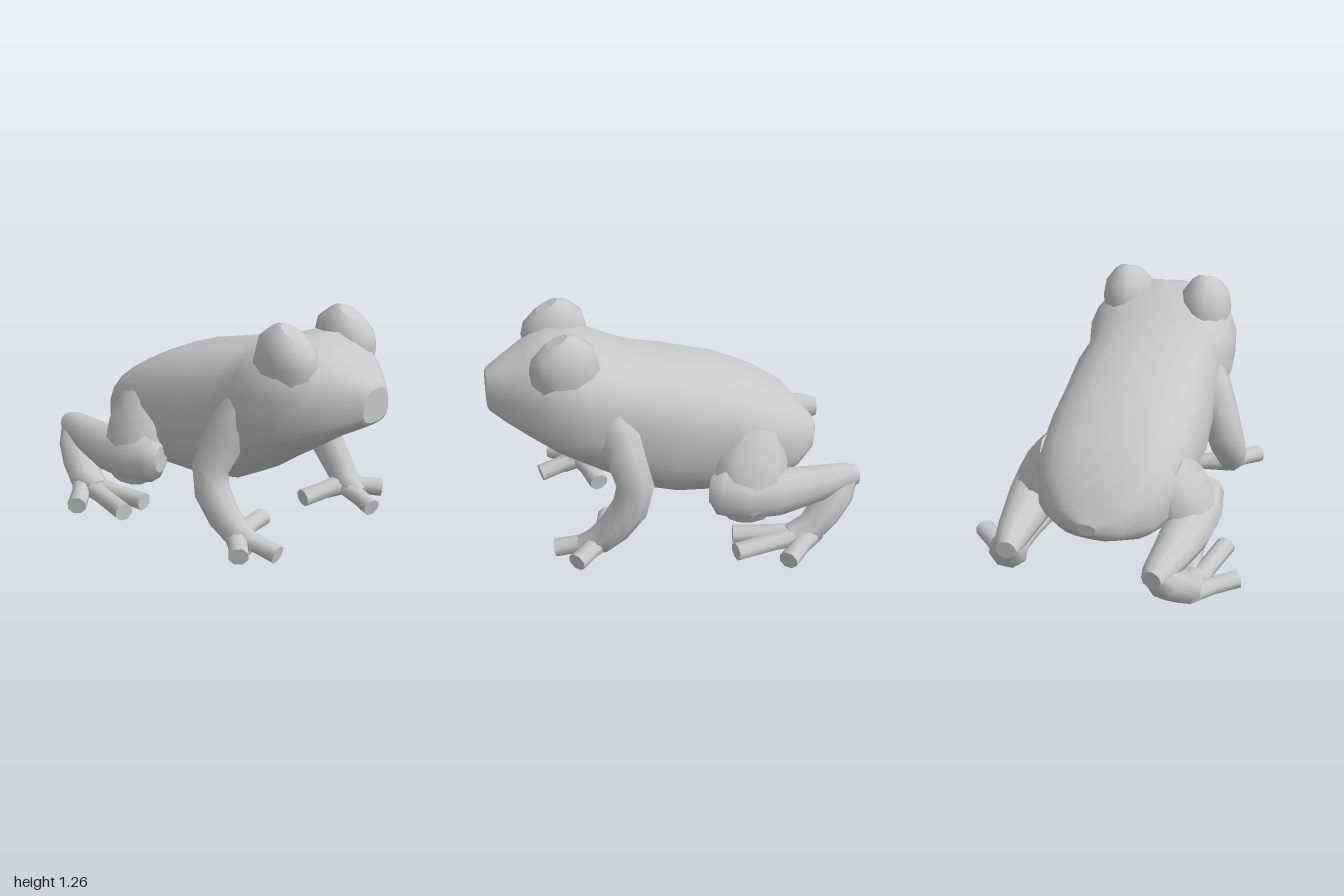
import * as THREE from 'three';

const skin = new THREE.MeshStandardMaterial({ color: 0xc8c8c8 });
skin.name = 'grey skin';

// Skin a list of equal rings (counter-clockwise about the travel direction) and cap both ends
function loft(rings) {
  const n = rings[0].length, pos = [], idx = [];
  const add = (p) => pos.push(p.x, p.y, p.z) / 3 - 1;
  rings.forEach((r) => r.forEach(add));
  for (let i = 0; i < rings.length - 1; i++) {
    for (let j = 0; j < n; j++) {
      const a = i * n + j, b = i * n + (j + 1) % n;
      idx.push(a, b, a + n, b, b + n, a + n);
    }
  }
  [[rings[0], true], [rings[rings.length - 1], false]].forEach(([ring, first]) => {
    const mid = new THREE.Vector3();
    ring.forEach((p) => mid.addScaledVector(p, 1 / n));
    const c = add(mid), k = ring.map(add);
    for (let j = 0; j < n; j++) {
      const a = k[j], b = k[(j + 1) % n];
      if (first) idx.push(c, b, a); else idx.push(c, a, b);
    }
  });
  const g = new THREE.BufferGeometry();
  g.setAttribute('position', new THREE.Float32BufferAttribute(pos, 3));
  g.setIndex(idx);
  g.computeVertexNormals();
  return g;
}

// Tapered limb through [x, y, z, radius]; ref fixes the ring's twist, flat scales it along ref
function limb(points, side, ref, flat = 1, sides = 8) {
  const c = points.map((p) => new THREE.Vector3(p[0], p[1], p[2] * side));
  return loft(points.map((p, i) => {
    const t = c[Math.min(i + 1, c.length - 1)].clone().sub(c[Math.max(i - 1, 0)]).normalize();
    const u = new THREE.Vector3().crossVectors(ref, t).normalize();
    const v = new THREE.Vector3().crossVectors(t, u);
    return Array.from({ length: sides }, (_, j) => {
      const a = (j + 0.5) / sides * Math.PI * 2;
      return c[i].clone().addScaledVector(u, Math.cos(a) * p[3])
        .addScaledVector(v, Math.sin(a) * p[3] * flat);
    });
  }));
}

// Body sections along x: [x, bottom, height of widest point, top, half width]
const sections = [
  [-0.85, 0.42, 0.46, 0.49, 0.05], [-0.80, 0.36, 0.46, 0.55, 0.19],
  [-0.68, 0.29, 0.48, 0.70, 0.33], [-0.52, 0.23, 0.51, 0.80, 0.40],
  [-0.30, 0.20, 0.55, 0.905, 0.42], [0.00, 0.21, 0.60, 0.99, 0.42],
  [0.20, 0.25, 0.67, 1.035, 0.40], [0.35, 0.335, 0.77, 1.09, 0.395],
  [0.48, 0.43, 0.82, 1.14, 0.43], [0.65, 0.545, 0.82, 1.16, 0.41],
  [0.79, 0.645, 0.81, 1.09, 0.32], [0.91, 0.715, 0.82, 1.03, 0.205],
  [0.99, 0.765, 0.84, 0.985, 0.115], [1.00, 0.78, 0.86, 0.96, 0.10],
];

function bodyGeometry() {
  const soft = (v) => Math.sign(v) * Math.pow(Math.abs(v), 0.8);
  return loft(sections.map(([x, lo, mid, hi, w]) => Array.from({ length: 18 }, (_, j) => {
    const a = j / 18 * Math.PI * 2, cy = soft(Math.cos(a));
    return new THREE.Vector3(x, mid + cy * (cy > 0 ? hi - mid : mid - lo), soft(Math.sin(a)) * w);
  })));
}

export function createModel() {
  const model = new THREE.Group();
  model.name = 'frog';
  const up = new THREE.Vector3(0, 1, 0), across = new THREE.Vector3(0, 0, 1);
  const add = (name, geometry, parent = model) => {
    const m = new THREE.Mesh(geometry, skin);
    m.name = name;
    parent.add(m);
  };
  // Stubby toes from a shared palm point to each tip
  const addToes = (name, palm, tips, side, parent) => tips.forEach((tip) => {
    const mid = palm.map((v, i) => (v + tip[i]) / 2);
    add(name, limb([[...palm, 0.07], [...mid, 0.053], [...tip, 0.055]], side, up, 0.9), parent);
  });
  add('body', bodyGeometry());

  for (const side of [1, -1]) {
    // Flat-topped eye bulge rising out of the head
    add('eyeBulge', limb([
      [0.58, 0.80, 0.24, 0.12], [0.59, 0.92, 0.235, 0.175], [0.595, 1.06, 0.23, 0.19],
      [0.60, 1.15, 0.23, 0.17], [0.62, 1.21, 0.23, 0.11], [0.63, 1.23, 0.23, 0.065],
    ], side, across, 0.76, 12));

    // Front leg with three spread toes
    const front = new THREE.Group();
    front.name = 'frontLeg';
    model.add(front);
    add('arm', limb([
      [0.37, 0.82, 0.28, 0.11], [0.33, 0.70, 0.345, 0.115], [0.305, 0.59, 0.39, 0.112],
      [0.265, 0.44, 0.45, 0.105], [0.30, 0.32, 0.47, 0.1], [0.39, 0.20, 0.47, 0.09],
      [0.47, 0.12, 0.45, 0.08], [0.57, 0.08, 0.43, 0.055],
    ], side, across), front);
    addToes('frontToe', [0.45, 0.115, 0.44],
      [[0.70, 0.06, 0.39], [0.61, 0.09, 0.59], [0.38, 0.09, 0.17]], side, front);

    // Folded hind leg: haunch, thigh and shank, then the foot with three toes
    const hind = new THREE.Group();
    hind.name = 'hindLeg';
    model.add(hind);
    add('haunch', limb([
      [-0.43, 0.64, 0.30, 0.14], [-0.39, 0.49, 0.36, 0.21], [-0.365, 0.35, 0.43, 0.205],
      [-0.36, 0.25, 0.46, 0.18], [-0.36, 0.19, 0.46, 0.12],
    ], side, across, 0.7, 10), hind);
    add('thigh', limb([
      [-0.16, 0.35, 0.41, 0.08], [-0.21, 0.35, 0.43, 0.14], [-0.34, 0.32, 0.45, 0.145],
      [-0.52, 0.305, 0.445, 0.135], [-0.75, 0.32, 0.425, 0.105], [-0.92, 0.335, 0.405, 0.08],
      [-0.99, 0.335, 0.395, 0.055],
    ], side, across, 1, 10), hind);
    add('foot', limb([
      [-0.94, 0.34, 0.40, 0.06], [-0.88, 0.25, 0.43, 0.09], [-0.79, 0.16, 0.47, 0.095],
      [-0.71, 0.085, 0.50, 0.085], [-0.58, 0.06, 0.52, 0.06],
    ], side, across, 1.15), hind);
    addToes('hindToe', [-0.72, 0.06, 0.51],
      [[-0.26, 0.055, 0.61], [-0.52, 0.05, 0.735], [-0.28, 0.055, 0.44]], side, hind);
  }
  return model;
}
